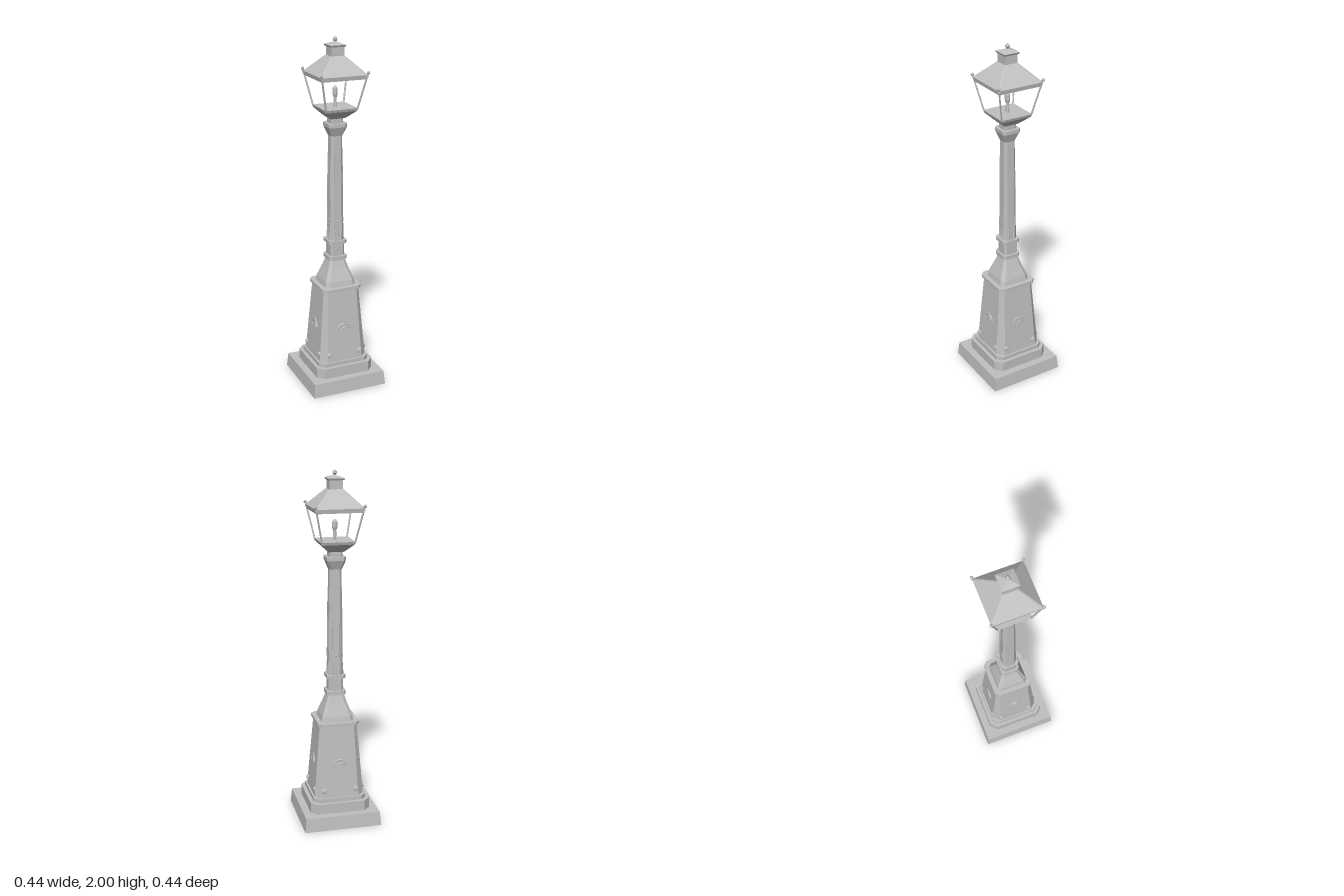
import * as THREE from 'three';

const iron = new THREE.MeshStandardMaterial({ color: 0xc0c0c0 });
iron.name = 'cast iron grey';

// faceted mesh from any geometry
function part(name, geometry, parent) {
  const g = geometry.index ? geometry.toNonIndexed() : geometry;
  g.computeVertexNormals();
  const m = new THREE.Mesh(g, iron);
  m.name = name;
  parent.add(m);
  return m;
}

// square cross-section, with cut corners when c > 0
function ring(h, c) {
  const pts = [];
  for (let k = 0; k < 4; k++) {
    const corner = c > 0 ? [[h, h - c], [h - c, h]] : [[h, h]];
    for (const [x, z] of corner) {
      const a = k * Math.PI / 2, cs = Math.round(Math.cos(a)), sn = Math.round(Math.sin(a));
      pts.push([x * cs - z * sn, x * sn + z * cs]);
    }
  }
  return pts;
}

// stacked square sections: rows of [y, half width, corner cut]
function loft(rows) {
  const rings = rows.map(([y, h, c = 0]) => ring(h, c).map(([x, z]) => [x, y, z]));
  const n = rings[0].length, v = [];
  const top = rings.length - 1;
  for (let i = 0; i < n; i++) {
    const j = (i + 1) % n;
    for (let r = 0; r < top; r++) {
      const a = rings[r], b = rings[r + 1];
      v.push(...a[i], ...b[i], ...a[j], ...a[j], ...b[i], ...b[j]);
    }
    v.push(0, rows[0][0], 0, ...rings[0][i], ...rings[0][j]);
    v.push(0, rows[top][0], 0, ...rings[top][j], ...rings[top][i]);
  }
  const g = new THREE.BufferGeometry();
  g.setAttribute('position', new THREE.Float32BufferAttribute(v, 3));
  return g;
}

// straight bar between two points
function bar(name, a, b, r, parent) {
  const d = b.clone().sub(a);
  const m = part(name, new THREE.CylinderGeometry(r, r, d.length(), 6), parent);
  m.position.copy(a).add(b).multiplyScalar(0.5);
  m.quaternion.setFromUnitVectors(new THREE.Vector3(0, 1, 0), d.normalize());
}

export function createModel() {
  const model = new THREE.Group();
  model.name = 'streetLamp';

  // stepped base and pedestal
  part('plinth', loft([[0, 0.222], [0.08, 0.214]]), model);
  part('lowerStep', loft([[0.08, 0.172, 0.037], [0.14, 0.172, 0.037]]), model);
  part('upperStep', loft([[0.14, 0.152, 0.03], [0.163, 0.152, 0.03]]), model);
  part('pedestal', loft([[0.163, 0.142, 0.036], [0.585, 0.107, 0.022]]), model);
  part('pedestalCap', loft([[0.583, 0.118, 0.024], [0.6, 0.118, 0.024]]), model);
  part('shoulder', loft([[0.6, 0.092, 0.02], [0.63, 0.086, 0.019], [0.7, 0.06, 0.016], [0.75, 0.044, 0.013]]), model);

  // column with collars and capital
  part('lowerCollar', loft([[0.747, 0.054, 0.014], [0.77, 0.054, 0.014]]), model);
  part('columnFoot', loft([[0.77, 0.042, 0.012], [0.845, 0.042, 0.012]]), model);
  part('upperCollar', loft([[0.843, 0.053, 0.014], [0.862, 0.053, 0.014]]), model);
  part('shaft', loft([[0.862, 0.041, 0.016], [1.47, 0.033, 0.013]]), model);
  part('capital', loft([[1.462, 0.034, 0.01], [1.512, 0.053, 0.013], [1.532, 0.053, 0.013]]), model);
  part('capitalNeck', loft([[1.532, 0.036, 0.009], [1.565, 0.036, 0.009]]), model);

  // relief on each of the four sides
  for (let k = 0; k < 4; k++) {
    const side = new THREE.Group();
    side.name = 'sideRelief' + (k + 1);
    side.rotation.y = k * Math.PI / 2;
    model.add(side);

    const panel = new THREE.Group();
    panel.name = 'pedestalRelief';
    panel.position.set(0, 0.163, 0.142);
    panel.rotation.x = -Math.atan(0.035 / 0.422);
    side.add(panel);
    for (const s of [-1, 1]) {
      const bolt = part('bolt', new THREE.CylinderGeometry(0.01, 0.016, 0.009, 8), panel);
      bolt.rotation.x = Math.PI / 2;
      bolt.position.set(s * 0.092, 0.042, 0.004);
    }
    const outer = part('outerScroll', new THREE.TorusGeometry(0.036, 0.005, 5, 14, Math.PI * 1.1), panel);
    outer.position.set(0, 0.185, 0.001);
    const inner = part('innerScroll', new THREE.TorusGeometry(0.018, 0.004, 5, 10, Math.PI), panel);
    inner.position.set(0.004, 0.18, 0.001);

    const face = new THREE.Group();
    face.name = 'shaftRelief';
    face.position.set(0, 0.862, 0.041);
    face.rotation.x = -Math.atan(0.008 / 0.608);
    side.add(face);
    for (const x of [-0.017, 0, 0.017]) {
      const leaf = part('leaf', new THREE.ConeGeometry(0.008, x ? 0.09 : 0.07, 4), face);
      leaf.scale.z = 0.6;
      leaf.position.set(x, x ? 0.045 : 0.035, 0.001);
    }
    const stud = part('stud', new THREE.SphereGeometry(0.007, 8, 6), face);
    stud.scale.z = 0.5;
    stud.position.set(0, 0.115, 0);
    for (const s of [-1, 1]) {
      const rib = part('rib', new THREE.BoxGeometry(0.004, 0.4, 0.004), face);
      rib.position.set(s * 0.0185, 0.3, 0);
    }
  }

  // lantern tray and burner
  part('lanternTray', loft([[1.56, 0.042], [1.605, 0.09], [1.62, 0.095]]), model);
  part('burnerStem', new THREE.CylinderGeometry(0.008, 0.011, 0.06, 8), model).position.y = 1.647;
  const mantle = [[0, 1.67], [0.01, 1.672], [0.015, 1.69], [0.015, 1.718], [0.009, 1.73], [0, 1.732]];
  part('mantle', new THREE.LatheGeometry(mantle.map(p => new THREE.Vector2(...p)), 8), model);

  // lantern corner posts and eave knobs
  for (const sx of [-1, 1]) for (const sz of [-1, 1]) {
    bar('lanternPost', new THREE.Vector3(sx * 0.09, 1.612, sz * 0.09),
      new THREE.Vector3(sx * 0.129, 1.795, sz * 0.129), 0.005, model);
    part('eaveKnob', new THREE.SphereGeometry(0.0095, 6, 5), model).position.set(sx * 0.134, 1.814, sz * 0.134);
    part('knobStem', new THREE.CylinderGeometry(0.005, 0.005, 0.02, 6), model).position.set(sx * 0.131, 1.8, sz * 0.131);
  }

  // roof, vent and finial
  part('eaveBand', loft([[1.779, 0.129], [1.802, 0.133]]), model);
  part('roof', loft([[1.802, 0.134, 0.007], [1.896, 0.04, 0.004]]), model);
  part('vent', loft([[1.89, 0.037], [1.945, 0.037]]), model);
  part('ventCap', loft([[1.943, 0.042], [1.953, 0.047], [1.968, 0.006]]), model);
  const finial = [[0, 1.96], [0.008, 1.962], [0.007, 1.97], [0.013, 1.979], [0.011, 1.988], [0.004, 1.994], [0, 2]];
  part('finial', new THREE.LatheGeometry(finial.map(p => new THREE.Vector2(...p)), 8), model);

  return model;
}
